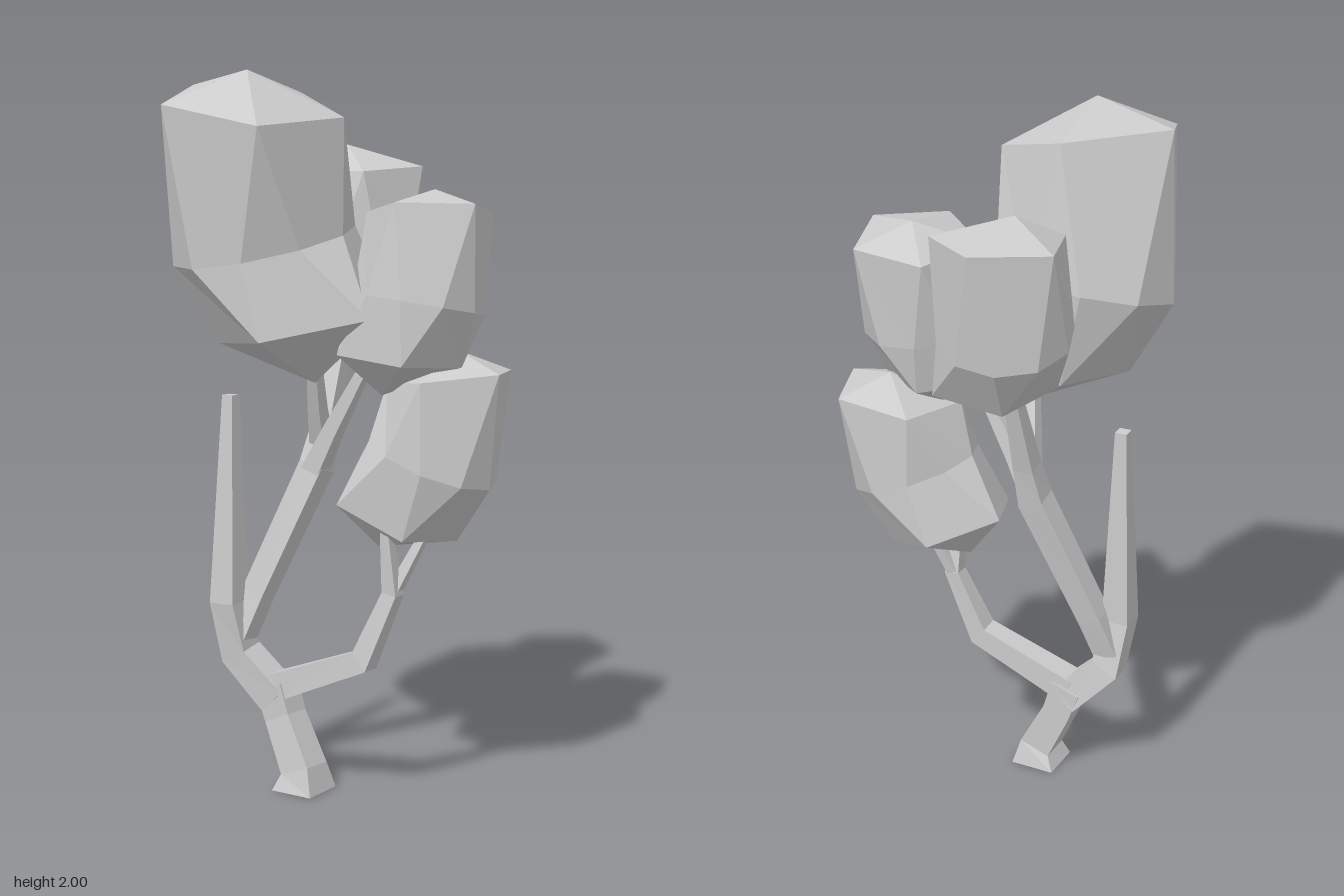
import * as THREE from 'three';

const material = new THREE.MeshStandardMaterial({ color: 0xcccccc, flatShading: true });

function meshFrom(name, tris) {
  const geometry = new THREE.BufferGeometry().setFromPoints(tris);
  geometry.computeVertexNormals();
  const mesh = new THREE.Mesh(geometry, material);
  mesh.name = name;
  return mesh;
}

// Square limb swept along points [x, y, z, width]
function limb(name, path) {
  const centres = path.map(([x, y, z]) => new THREE.Vector3(x, y, z));
  const last = path.length - 1;
  const rings = path.map((p, i) => {
    const t = centres[Math.min(i + 1, last)].clone().sub(centres[Math.max(i - 1, 0)]).normalize();
    const u = t.clone().cross(new THREE.Vector3(0, 0, 1)).normalize();
    const v = u.clone().cross(t);
    return [[1, 1], [-1, 1], [-1, -1], [1, -1]].map(([a, b]) =>
      centres[i].clone().addScaledVector(u, a * p[3] / 2).addScaledVector(v, b * p[3] / 2));
  });
  const tris = [];
  for (let i = 0; i < last; i++) {
    const a = rings[i], b = rings[i + 1];
    for (let j = 0; j < 4; j++) {
      const k = (j + 1) % 4;
      tris.push(a[j], b[j], b[k], a[j], b[k], a[k]);
    }
  }
  const s = rings[0], e = rings[last];
  tris.push(s[0], s[1], s[2], s[0], s[2], s[3], e[0], e[2], e[1], e[0], e[3], e[2]);
  return meshFrom(name, tris);
}

// Tilted regular ring: centre, radius, and slope of y along x and z
function ring([cx, cy, cz, r, sx, sz], count, degrees) {
  return Array.from({ length: count }, (_, i) => {
    const a = THREE.MathUtils.degToRad(degrees + i * 360 / count);
    const dx = r * Math.cos(a), dz = r * Math.sin(a);
    return new THREE.Vector3(cx + dx, cy + sx * dx + sz * dz, cz + dz);
  });
}

// Bent, stretched icosahedron with an extra loop round its middle
function foliage(name, { phase, tip, top, middle, bottom, base }) {
  const T = ring(top, 5, phase);
  const M = ring(middle, 10, phase + 18);
  const B = ring(bottom, 5, phase + 36);
  const up = new THREE.Vector3(...tip), down = new THREE.Vector3(...base);
  const tris = [];
  for (let i = 0; i < 5; i++) {
    const n = (i + 1) % 5;
    const m0 = M[(2 * i + 9) % 10], m1 = M[2 * i], m2 = M[2 * i + 1], m3 = M[(2 * i + 2) % 10];
    tris.push(
      T[i], up, T[n],
      m0, T[i], m1,
      m1, T[i], T[n], m1, T[n], m2,
      B[i], m1, m2,
      B[i], m2, m3, B[i], m3, B[n],
      down, B[i], B[n]);
  }
  return meshFrom(name, tris);
}

export function createModel() {
  const group = new THREE.Group();
  group.name = 'tree';

  // Trunk and branches
  group.add(
    limb('trunk', [[-0.1, 0, 0.12, 0.13], [-0.1, 0.06, 0.12, 0.095], [-0.17, 0.2, 0.11, 0.085], [-0.2, 0.29, 0.11, 0.09]]),
    limb('bareBranch', [[-0.19, 0.25, 0.11, 0.09], [-0.31, 0.37, 0.13, 0.085], [-0.33, 0.52, 0.155, 0.08], [-0.33, 1.11, 0.14, 0.035]]),
    limb('tallBranch', [[-0.31, 0.42, 0.13, 0.07], [-0.27, 0.54, 0.1, 0.07], [-0.12, 0.91, 0.02, 0.075], [-0.11, 1.02, -0.01, 0.06], [-0.1, 1.3, -0.1, 0.035]]),
    limb('tallBranchFork', [[-0.13, 0.88, 0.03, 0.06], [-0.05, 1.02, 0.04, 0.045], [0.05, 1.18, 0.05, 0.03]]),
    limb('upperTwig', [[-0.11, 0.97, 0.01, 0.05], [-0.09, 1.08, 0.06, 0.04], [-0.06, 1.22, 0.12, 0.03]]),
    limb('lowBranch', [[-0.2, 0.28, 0.11, 0.08], [0.09, 0.395, 0.1, 0.065], [0.17, 0.59, 0.08, 0.045], [0.16, 0.78, 0.1, 0.025]]),
    limb('lowTwig', [[0.16, 0.57, 0.08, 0.035], [0.25, 0.77, 0.03, 0.022]]),
  );

  // Foliage clumps
  group.add(
    foliage('frontFoliage', {
      phase: 51, tip: [-0.17, 2, 0.27],
      top: [-0.2, 1.91, 0.21, 0.255, -0.2, -0.14],
      middle: [-0.21, 1.53, 0.14, 0.25, 0.12, -0.2],
      bottom: [-0.08, 1.31, 0.12, 0.25, 0.17, -0.1],
      base: [-0.05, 1.16, 0.13],
    }),
    foliage('backFoliage', {
      phase: 54, tip: [-0.18, 1.805, -0.23],
      top: [-0.152, 1.74, -0.252, 0.185, 0, -0.06],
      middle: [-0.15, 1.48, -0.22, 0.18, 0.1, 0.25],
      bottom: [-0.08, 1.32, -0.16, 0.175, 0.1, 0.15],
      base: [-0.09, 1.235, -0.13],
    }),
    foliage('sideFoliage', {
      phase: 20, tip: [0.22, 1.685, -0.05],
      top: [0.23, 1.63, -0.016, 0.18, 0.07, 0.14],
      middle: [0.215, 1.38, 0.025, 0.178, -0.1, 0.15],
      bottom: [0.17, 1.23, 0.055, 0.175, -0.1, 0.05],
      base: [0.12, 1.13, 0.06],
    }),
    foliage('lowFoliage', {
      phase: 16, tip: [0.28, 1.25, -0.08],
      top: [0.28, 1.18, -0.045, 0.18, 0.12, 0],
      middle: [0.235, 0.95, -0.02, 0.175, -0.38, 0.05],
      bottom: [0.12, 0.79, -0.01, 0.175, -0.4, 0],
      base: [0.08, 0.7, 0.01],
    }),
  );
  return group;
}
